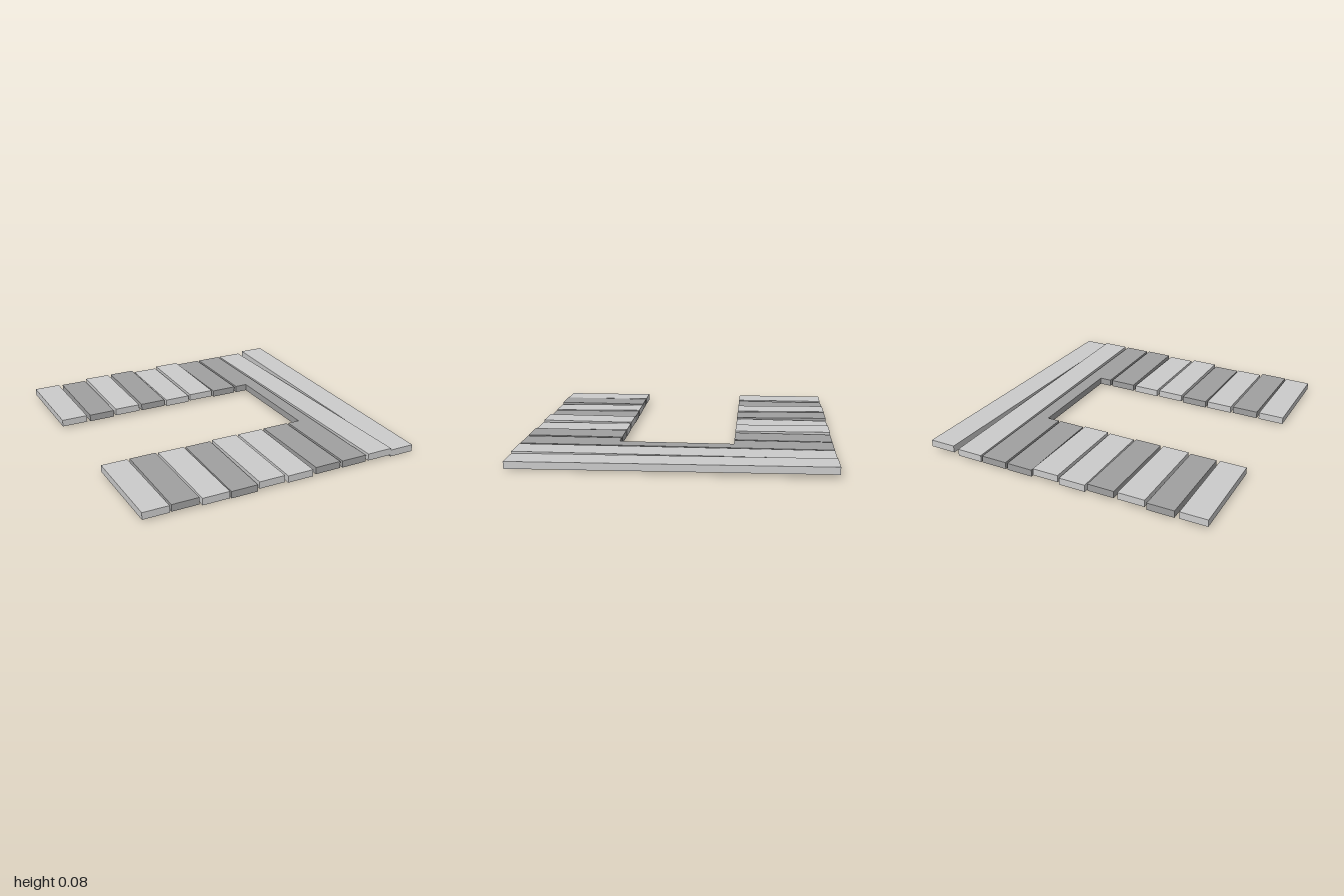
import * as THREE from 'three';

const THICK = 0.046; // plank thickness
const HOLE_Z = 0.37; // half depth of the opening
const HOLE_X = 0.48; // closed end of the opening

// [front left x, front right x, back left x, back right x, front base y, back base y, dark]
const PLANKS = [
  [-0.95, -0.78, -0.975, -0.797, 0.017, 0.023, 0],
  [-0.77, -0.593, -0.767, -0.59, 0.02, 0.019, 1],
  [-0.573, -0.395, -0.578, -0.4, 0.008, 0.034, 0],
  [-0.385, -0.207, -0.376, -0.198, 0.004, 0.034, 1],
  [-0.197, -0.02, -0.178, 0.0, 0.02, 0.019, 0],
  [0.004, 0.182, 0.01, 0.187, 0.01, 0.033, 0],
  [0.203, 0.382, 0.2, 0.378, 0.019, 0.019, 1],
  [0.4, 0.577, 0.392, 0.57, 0.017, 0.02, 1],
  [0.599, 0.777, 0.582, 0.759, 0.019, 0.02, 0],
  [0.777, 0.95, 0.795, 0.971, 0.006, 0.034, 0],
];

export function createModel() {
  const group = new THREE.Group();
  group.name = 'plankFloor';
  const light = new THREE.MeshStandardMaterial({ color: 0xcccccc });
  const dark = new THREE.MeshStandardMaterial({ color: 0xa0a0a0 });

  PLANKS.forEach(([fl, fr, bl, br, fy, by, isDark], i) => {
    const at = (front, back, z) => THREE.MathUtils.lerp(back, front, (z + 1) / 2);
    const L = (z) => [at(fl, bl, z), z];
    const R = (z) => [at(fr, br, z), z];

    // Extrude an x/z outline upwards, then tilt it along its length
    const addPiece = (outline, name) => {
      const shape = new THREE.Shape(outline.map(([x, z]) => new THREE.Vector2(x, -z)));
      const geo = new THREE.ExtrudeGeometry(shape, { depth: THICK, bevelEnabled: false });
      geo.rotateX(-Math.PI / 2);
      const p = geo.attributes.position;
      for (let k = 0; k < p.count; k++) p.setY(k, p.getY(k) + at(fy, by, p.getZ(k)));
      geo.computeVertexNormals();
      const mesh = new THREE.Mesh(geo, isDark ? dark : light);
      mesh.name = name;
      group.add(mesh);
    };
    const strip = (z0, z1) => [L(z1), R(z1), R(z0), L(z0)];

    if (fl > HOLE_X) {
      // Full-length planks beside the opening
      addPiece(strip(-1, 1), `longPlank${i + 1}`);
    } else if (fr > HOLE_X) {
      // Plank notched by the end of the opening
      addPiece([L(1), R(1), R(-1), L(-1), L(-HOLE_Z), [HOLE_X, -HOLE_Z],
        [HOLE_X, HOLE_Z], L(HOLE_Z)], 'notchedPlank');
    } else {
      // Planks cut in two by the opening
      addPiece(strip(HOLE_Z, 1), `frontPlank${i + 1}`);
      addPiece(strip(-1, -HOLE_Z), `backPlank${i + 1}`);
    }
  });
  return group;
}
